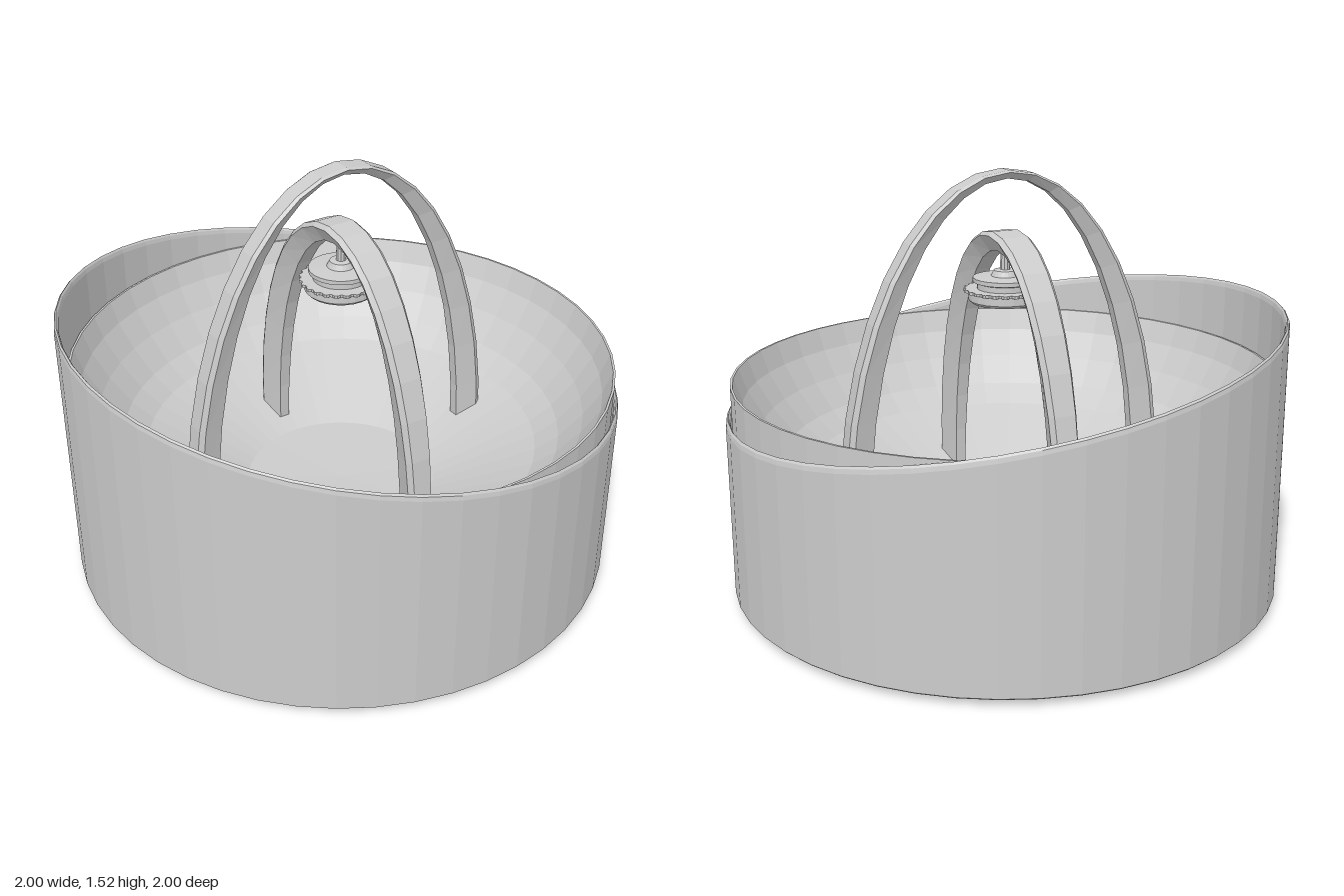
import * as THREE from 'three';

const SEG = 48;
const material = new THREE.MeshStandardMaterial({
  color: 0xcccccc, flatShading: true, side: THREE.DoubleSide,
});

function part(name, geometry, parent) {
  const mesh = new THREE.Mesh(geometry, material);
  mesh.name = name;
  parent.add(mesh);
  return mesh;
}

const lathe = (points, segments = SEG) =>
  new THREE.LatheGeometry(points.map(([r, y]) => new THREE.Vector2(r, y)), segments);

// Half-elliptical arch: thick feet, thin crown, and a section narrowing inwards.
// Section corners are [depth from the outer face 0..1, side -1..1].
const SECTION = [[0, -0.75], [0, 0.75], [0.2, 1], [1, 0.45], [1, -0.45], [0.2, -1]];

function archGeometry({ a, b, foot, crown, footWidth, crownWidth }) {
  const steps = 20, n = SECTION.length;
  const positions = [], index = [];
  for (let i = 0; i <= steps; i++) {
    const t = (i / steps) * Math.PI;
    const c = Math.cos(t), s = Math.sin(t);
    const half = THREE.MathUtils.lerp(footWidth, crownWidth, s) / 2;
    for (const [d, side] of SECTION) {
      positions.push((a - foot * d) * c, (b - crown * d) * s, side * half);
    }
  }
  for (let i = 0; i < steps; i++) {
    for (let j = 0; j < n; j++) {
      const p = i * n + j, q = i * n + (j + 1) % n;
      index.push(p, p + n, q, q, p + n, q + n);
    }
  }
  // Foot ends
  const last = steps * n;
  for (let j = 1; j < n - 1; j++) {
    index.push(0, j, j + 1, last, last + j + 1, last + j);
  }
  const geo = new THREE.BufferGeometry();
  geo.setAttribute('position', new THREE.Float32BufferAttribute(positions, 3));
  geo.setIndex(index);
  geo.computeVertexNormals();
  return geo;
}

// Drum shell whose rim follows a tilted plane
function drumGeometry() {
  const geo = lathe([
    [0, 0], [0.995, 0.025], [1, 0.03], [1, 0.83], [0.997, 0.845],
    [0.991, 0.852], [0.986, 0.845], [0.983, 0.83], [0.983, 0.55],
  ]);
  const p = geo.attributes.position;
  for (let i = 0; i < p.count; i++) {
    if (p.getY(i) > 0.8) p.setY(i, p.getY(i) - 0.17 * p.getX(i) - 0.06 * p.getZ(i));
  }
  geo.computeVertexNormals();
  return geo;
}

// Thin toothed plate
function gearGeometry(outer, inner, teeth, height) {
  const shape = new THREE.Shape();
  for (let i = 0; i < teeth * 4; i++) {
    const r = i % 4 < 2 ? outer : inner;
    const t = (i / (teeth * 4)) * Math.PI * 2;
    shape[i ? 'lineTo' : 'moveTo'](r * Math.cos(t), r * Math.sin(t));
  }
  shape.closePath();
  return new THREE.ExtrudeGeometry(shape, { depth: height, bevelEnabled: false }).rotateX(-Math.PI / 2);
}

export function createModel() {
  const model = new THREE.Group();
  model.name = 'slantedBasin';

  part('drum', drumGeometry(), model);

  // Dished floor with an upright outer band
  part('bowl', lathe([
    [0, 0.25], [0.35, 0.265], [0.72, 0.445], [0.8, 0.51], [0.88, 0.61],
    [0.94, 0.71], [0.97, 0.795], [0.978, 0.795], [0.978, 0.5],
  ]), model);

  // Crossed arches, turned slightly together
  const arches = new THREE.Group();
  arches.name = 'arches';
  arches.rotation.y = -0.065;
  arches.position.y = 0.3;
  model.add(arches);
  part('tallArch', archGeometry({
    a: 0.63, b: 1.22, foot: 0.1, crown: 0.03, footWidth: 0.085, crownWidth: 0.09,
  }), arches);
  part('lowArch', archGeometry({
    a: 0.53, b: 1.005, foot: 0.115, crown: 0.07, footWidth: 0.085, crownWidth: 0.13,
  }), arches).rotation.y = -Math.PI / 2;

  // Stacked discs hung below the low arch
  const pendant = new THREE.Group();
  pendant.name = 'pendant';
  model.add(pendant);
  part('spindle', new THREE.CylinderGeometry(0.015, 0.02, 0.14, 10).translate(0, 1.19, 0), pendant);
  part('pendantBody', lathe([
    [0, 1.05], [0.12, 1.05], [0.13, 1.06], [0.13, 1.09], [0.1, 1.095],
    [0.1, 1.12], [0.115, 1.125], [0.115, 1.14], [0.05, 1.145], [0.04, 1.165], [0, 1.17],
  ], 24), pendant);
  part('toothedDisc', gearGeometry(0.148, 0.14, 24, 0.01), pendant).position.y = 1.09;

  return model;
}
